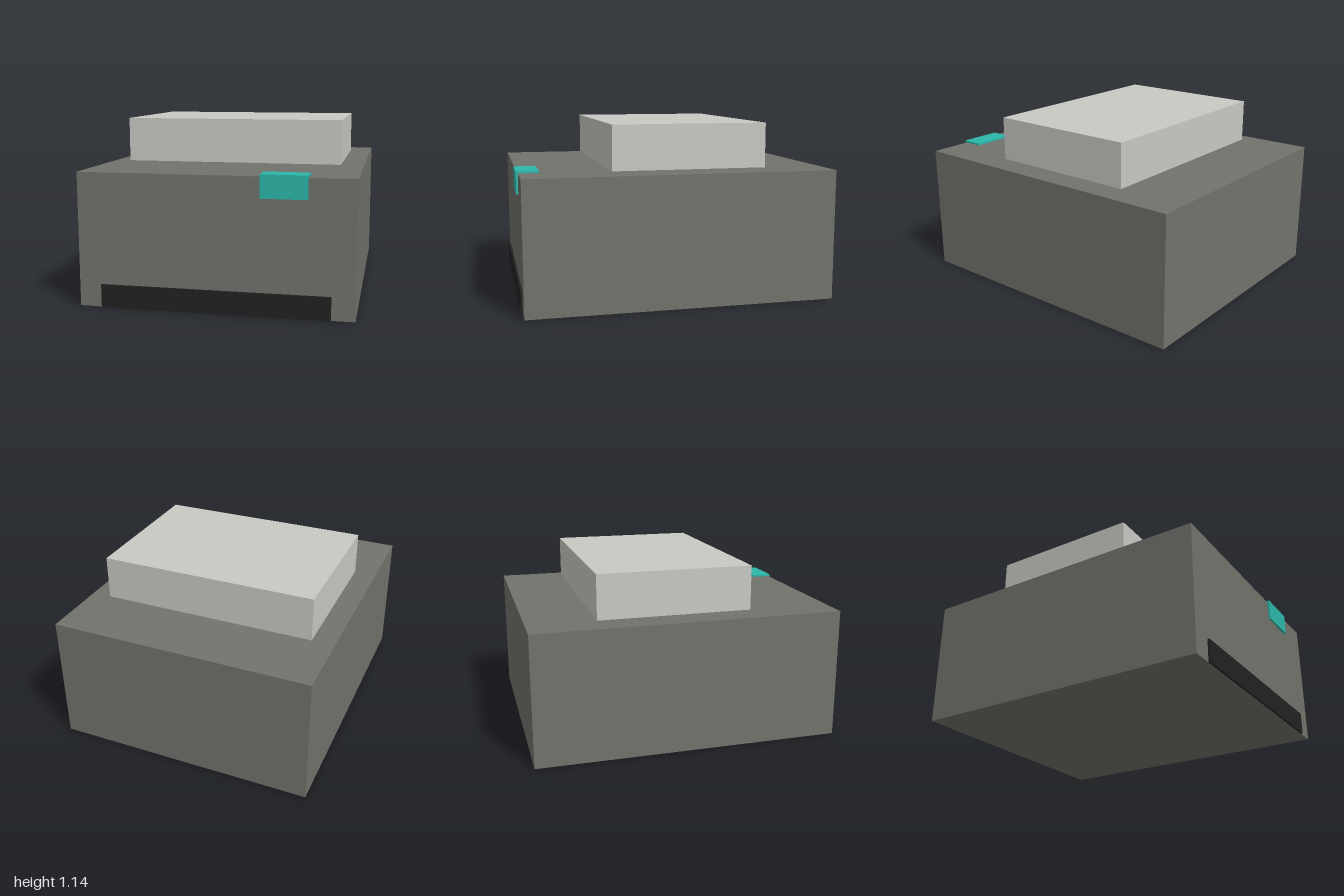
import * as THREE from 'three';

function material(name, color) {
  const m = new THREE.MeshStandardMaterial({ color });
  m.name = name;
  return m;
}

export function createModel() {
  const group = new THREE.Group();
  group.name = 'boxWithRaisedTop';

  const darkGrey = material('dark grey', 0x72736c);
  const lightGrey = material('light grey', 0xc9c9c4);
  const teal = material('teal', 0x2db7ab);
  const black = material('black', 0x222222);

  // Box given by its lower and upper limits on each axis
  function addBox(name, mat, [x0, x1], [y0, y1], [z0, z1]) {
    const mesh = new THREE.Mesh(new THREE.BoxGeometry(x1 - x0, y1 - y0, z1 - z0), mat);
    mesh.position.set((x0 + x1) / 2, (y0 + y1) / 2, (z0 + z1) / 2);
    mesh.name = name;
    group.add(mesh);
  }

  // Main housing
  addBox('body', darkGrey, [-0.855, 0.855], [0, 0.845], [-1, 0.987]);

  // Raised block, hovering just above the housing
  addBox('topBlock', lightGrey, [-0.712, 0.712], [0.859, 1.145], [-0.57, 0.425]);

  // Strip along the bottom of the front
  addBox('frontStrip', black, [-0.712, 0.712], [0, 0.145], [0.987, 1]);

  // Tab folded over the front top edge: flat part and hanging part
  addBox('tabTop', teal, [0.285, 0.57], [0.845, 0.859], [0.858, 1]);
  addBox('tabFront', teal, [0.285, 0.57], [0.716, 0.845], [0.987, 1]);

  return group;
}
